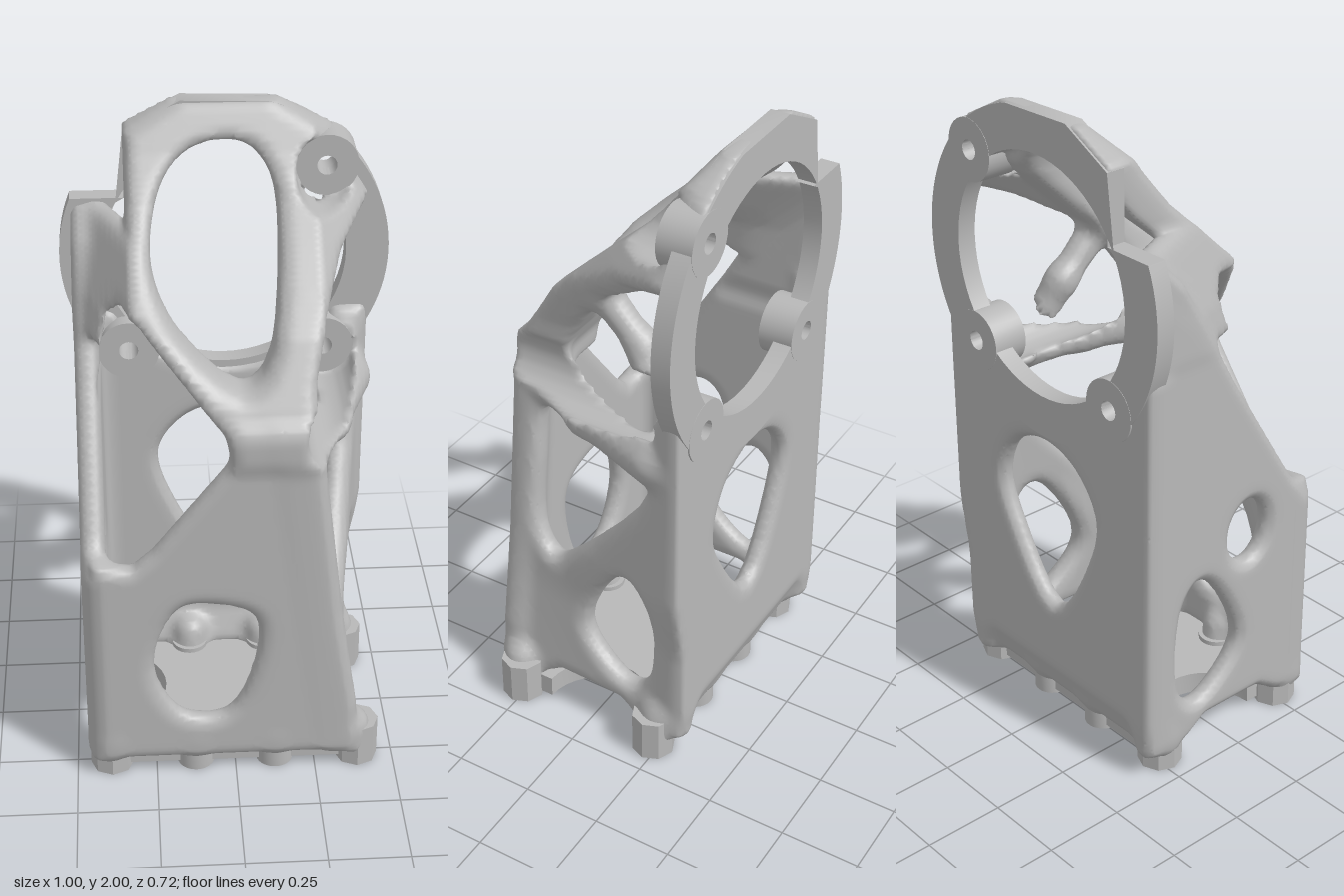
import * as THREE from 'three';
import { toCreasedNormals } from 'three/addons/utils/BufferGeometryUtils.js';

const { lerp, clamp, smoothstep } = THREE.MathUtils;

const arc = (cx, cy, r, a0, a1, n = 32) => Array.from({ length: n + 1 }, (_, i) => {
  const a = a0 + (a1 - a0) * i / n;
  return [cx + r * Math.cos(a), cy + r * Math.sin(a)];
});
const circle = (cx, cy, r, n = 32) => arc(cx, cy, r, 0, 2 * Math.PI, n).slice(0, n);
// smooth closed loop through a few points
const smooth = (pts, n = 32) => new THREE.CatmullRomCurve3(
  pts.map(([a, b]) => new THREE.Vector3(a, b, 0)), true)
  .getPoints(n).slice(0, n).map((p) => [p.x, p.y]);

// rounded union and rounded intersection of two distances
const blend = (a, b, k) => Math.min(a, b) - Math.max(k - Math.abs(a - b), 0) ** 2 / (4 * k);
const cut = (a, b, k) => -blend(-a, -b, k);

// signed distance to a polygon, negative inside
function polygonDistance(poly, x, y) {
  let best = Infinity, inside = false;
  for (let i = 0, j = poly.length - 1; i < poly.length; j = i++) {
    const [ax, ay] = poly[i], [bx, by] = poly[j];
    const ex = bx - ax, ey = by - ay, px = x - ax, py = y - ay;
    const t = clamp((px * ex + py * ey) / (ex * ex + ey * ey), 0, 1);
    best = Math.min(best, (px - ex * t) ** 2 + (py - ey * t) ** 2);
    if ((ay > y) !== (by > y) && px < ex * py / ey) inside = !inside;
  }
  return Math.sqrt(best) * (inside ? -1 : 1);
}

// outer slope of the roof over height, falling away at both sides
function roofZ(x, y) {
  const profile = [[1.22, 0.35], [1.3, 0.31], [1.47, 0.2], [1.66, 0], [1.75, -0.1], [1.87, -0.2], [2.02, -0.3]];
  let i = 0;
  while (i < profile.length - 2 && y > profile[i + 1][0]) i++;
  const [y0, z0] = profile[i], [y1, z1] = profile[i + 1];
  return lerp(z0, z1, clamp((y - y0) / (y1 - y0), 0, 1))
    - 1.2 * Math.max(0, x - 0.26) - 2.3 * Math.max(0, -0.29 - x);
}

// Walls of the casting: outline and holes seen square on, depth measured inwards from the outside.
const facing = (x, y) => [x, y];
const sideways = (x, y, z) => [z, y];

// front wall with one window and a diagonal upper left edge
const frontWall = {
  thickness: 0.075, flat: facing, depth: (x, y, z) => 0.35 - z,
  outline: [
    [-0.43, 0.07], [0.37, 0.07], [0.37, 0.25], [0.31, 0.6], [0.235, 1.25], [0, 1.25],
    [-0.01, 1.15], [-0.25, 0.84], [-0.31, 0.785], [-0.43, 0.8],
  ],
  holes: [smooth([
    [-0.25, 0.42], [-0.17, 0.635], [-0.06, 0.645], [0.05, 0.6], [0.06, 0.46], [-0.03, 0.24], [-0.16, 0.24],
  ])],
};

// back wall, scooped out under the mounting ring
const backWall = {
  thickness: 0.07, flat: facing, depth: (x, y, z) => z + 0.347 - Math.max(0, 0.2 - y) * 0.4,
  outline: [
    [-0.44, 0.07], [0.38, 0.07], [0.39, 0.4], [0.43, 0.65], [0.435, 1.33],
    ...arc(0, 1.51, 0.385, -0.5, -Math.PI + 0.5, 16), [-0.455, 1.33],
  ],
  holes: [smooth([[-0.02, 0.42], [0.16, 0.64], [0.21, 0.78], [0.15, 0.92], [0.02, 0.975], [-0.12, 0.94], [-0.21, 0.82], [-0.18, 0.66]])],
};

const lowerSideHole = smooth([[0.03, 0.36], [-0.08, 0.59], [-0.14, 0.62], [-0.195, 0.55], [-0.2, 0.26], [-0.14, 0.2], [-0.03, 0.26]]);
const sideArch = [[-0.34, 0.07], [-0.17, 0.08], [-0.1, 0.13], [0.12, 0.13], [0.2, 0.08], [0.32, 0.07]];

// right wall, straight, leaning back along its upper edge
const rightWall = {
  thickness: 0.075, flat: sideways, depth: (x) => x + 0.462,
  outline: [...sideArch, [0.32, 0.74], [0.24, 0.85], [0, 1.24], [-0.2, 1.6], [-0.28, 1.68], [-0.34, 1.69]],
  holes: [lowerSideHole, circle(0, 0, 0.075, 20).map(([z, y]) => [z + 0.065, y * 1.35 + 0.72])],
};

// left wall, twisted, its front edge drawn inwards towards the top
const leftWall = {
  thickness: 0.08, flat: sideways,
  depth: (x, y, z) => 0.94 * (lerp(0.4 + 0.04 * smoothstep(y, 0.4, 0.65), 0.385 - 0.14 * y, (z + 0.35) / 0.7) - x),
  outline: [...sideArch, [0.33, 1.23], [-0.18, 1.2], [-0.27, 1.3], [-0.34, 1.31]],
  holes: [lowerSideHole, smooth([
    [0.24, 0.85], [0.225, 1.05], [0.12, 1.085], [-0.17, 1.04], [-0.2, 0.98], [0.08, 0.62], [0.17, 0.555], [0.23, 0.64],
  ])],
};

// sloping roof web around one large opening
const roofWeb = {
  thickness: 0.12, flat: facing, depth: (x, y, z) => 0.78 * (roofZ(x, y) - z),
  outline: [
    [0, 1.14], [0.23, 1.14], [0.235, 1.35], [0.27, 1.5], [0.33, 1.62], [0.43, 1.7], [0.32, 1.91],
    [0.13, 2.01], [-0.13, 2.01], [-0.3, 1.92], [-0.3, 1.69], [-0.44, 1.68], [-0.44, 1.38],
    [-0.38, 1.36], [-0.36, 1.47], [-0.32, 1.515], [-0.27, 1.49], [-0.03, 1.22],
  ],
  holes: [smooth([
    [0.02, 1.335], [-0.16, 1.47], [-0.225, 1.59], [-0.22, 1.71], [-0.17, 1.82],
    [-0.08, 1.88], [0.06, 1.88], [0.13, 1.8], [0.14, 1.62], [0.09, 1.38],
  ])],
};
const walls = [frontWall, backWall, rightWall, leftWall, roofWeb];

// straight struts and leg roots: x, y, z, radius at both ends
const feetX = [-0.39, -0.125, 0.125, 0.385], feetZ = [0.262, -0.23];
const struts = [
  [[0.18, 1.14, 0.27, 0.06], [0.3, 1.11, 0.05, 0.05]],
  [[0.3, 1.11, 0.05, 0.05], [0.38, 1.11, -0.22, 0.07]],
  [[0.21, 1.5, 0.05, 0.05], [0.215, 1.36, -0.09, 0.042]],
  [[0.215, 1.36, -0.09, 0.042], [0.29, 1.14, -0.2, 0.06]],
  ...feetX.flatMap((x) => feetZ.map((z) => [[x, 0.06, z, 0.05], [x * 0.97, 0.13, z * 1.05, 0.05]])),
];
const bolts = [[0.3, 1.81], [0.3, 1.21], [-0.3, 1.21]];

function strutDistance([a, b], x, y, z) {
  const ex = b[0] - a[0], ey = b[1] - a[1], ez = b[2] - a[2];
  const px = x - a[0], py = y - a[1], pz = z - a[2];
  const t = clamp((px * ex + py * ey + pz * ez) / (ex * ex + ey * ey + ez * ez), 0, 1);
  return Math.hypot(px - ex * t, py - ey * t, pz - ez * t) - lerp(a[3], b[3], t);
}

// distance to the whole casting: walls and struts blended, ring bore and tool pockets cut out
function castingDistance(x, y, z) {
  let d = 1;
  for (const wall of walls) {
    const half = wall.thickness / 2;
    let w = Math.abs(wall.depth(x, y, z) - half) - half;
    if (w < 0.1) {
      const [u, v] = wall.flat(x, y, z);
      w = cut(w, polygonDistance(wall.outline, u, v), 0.04);
      for (const hole of wall.holes) w = cut(w, -polygonDistance(hole, u, v), 0.05);
    }
    d = blend(d, w, 0.045);
  }
  for (const s of struts) d = blend(d, strutDistance(s, x, y, z), 0.045);
  for (const [bx, by] of bolts) {
    const r = Math.hypot(x - bx, y - by);
    d = Math.max(d, 0.032 - r, Math.min(0.098 - r, z + 0.245));
  }
  const bore = Math.max(Math.hypot(x, y - 1.51) - 0.368, z + 0.29);
  return Math.max(d, -bore, -0.346 - z, y - 1.995, 0.01 - y);
}

// skin the casting: one vertex per crossed lattice cell, one quad per crossed lattice edge
function castingGeometry() {
  const step = 0.015, start = [-0.52, -0.02, -0.385], n = [70, 137, 53];
  const stride = [1, n[0], n[0] * n[1]];
  const field = new Float32Array(n[0] * n[1] * n[2]).fill(1);
  const each = (from, fn) => {
    for (let k = from; k < n[2] - 1; k++) for (let j = from; j < n[1] - 1; j++) {
      for (let i = from; i < n[0] - 1; i++) fn([i, j, k], i + j * stride[1] + k * stride[2]);
    }
  };
  each(0, (c, id) => { field[id] = castingDistance(...c.map((v, a) => start[a] + v * step)); });

  const positions = [], index = [], vertexOf = new Int32Array(field.length);
  each(0, (c, id) => {
    const sum = [0, 0, 0];
    let hits = 0;
    for (let corner = 0; corner < 8; corner++) {
      const bits = [corner & 1, (corner >> 1) & 1, corner >> 2];
      const at = id + bits[0] + bits[1] * stride[1] + bits[2] * stride[2];
      for (let a = 0; a < 3; a++) {
        if (bits[a] || (field[at] < 0) === (field[at + stride[a]] < 0)) continue;
        const t = field[at] / (field[at] - field[at + stride[a]]);
        for (let b = 0; b < 3; b++) sum[b] += bits[b] + (a === b ? t : 0);
        hits++;
      }
    }
    if (!hits) return;
    vertexOf[id] = positions.length / 3;
    for (let a = 0; a < 3; a++) positions.push(start[a] + (c[a] + sum[a] / hits) * step);
  });
  each(1, (c, id) => {
    for (let a = 0; a < 3; a++) {
      const inside = field[id] < 0;
      if (inside === (field[id + stride[a]] < 0)) continue;
      const sb = stride[(a + 1) % 3], sc = stride[(a + 2) % 3];
      const q = [id - sb - sc, id - sc, id, id - sb].map((cell) => vertexOf[cell]);
      if (!inside) q.reverse();
      index.push(q[0], q[1], q[2], q[0], q[2], q[3]);
    }
  });
  const g = new THREE.BufferGeometry();
  g.setAttribute('position', new THREE.Float32BufferAttribute(positions, 3));
  g.setIndex(index);
  g.computeVertexNormals();
  return g;
}

export function createModel() {
  const group = new THREE.Group();
  const castMetal = new THREE.MeshStandardMaterial({ color: 0xb8b8b8 });
  const add = (name, geometry) => {
    const mesh = new THREE.Mesh(geometry, castMetal);
    mesh.name = name;
    group.add(mesh);
    return mesh;
  };
  // machined flat part with holes
  const plate = (name, outline, holes, depth) => {
    const points = (pts) => pts.map(([a, b]) => new THREE.Vector2(a, b));
    const shape = new THREE.Shape(points(outline));
    shape.holes = holes.map((h) => new THREE.Path(points(h)));
    return add(name, toCreasedNormals(new THREE.ExtrudeGeometry(shape, { depth, bevelEnabled: false }), 0.6));
  };
  add('castBody', castingGeometry());

  // mounting ring with a square notch, and its bolt bosses
  const ringEdge = [...arc(0, 1.51, 0.5, -Math.PI - 0.39, 1.31, 80), [-0.13, 2], [-0.3, 1.91], [-0.3, 1.7]];
  const boltHoles = bolts.map(([x, y]) => circle(x, y, 0.03, 20));
  plate('mountingRing', ringEdge, [circle(0, 1.51, 0.37, 64), ...boltHoles], 0.06).position.z = -0.35;
  for (const [x, y] of bolts) {
    plate('ringBoss', circle(0, 0, 0.095), [circle(0, 0, 0.03, 20)], 0.111).position.set(x, y, -0.351);
  }

  // floor plate, scalloped at both ends, between two rows of bolt feet
  const floor = plate('floorPlate', [
    [-0.38, -0.29], [0.38, -0.29], ...arc(0.38, 0.015, 0.17, -Math.PI / 2, -1.5 * Math.PI, 16),
    [0.38, 0.26], [-0.38, 0.26], ...arc(-0.38, 0.015, 0.17, Math.PI / 2, -Math.PI / 2, 16),
  ], [], 0.07);
  floor.rotation.x = -Math.PI / 2;
  floor.position.y = 0.015;
  for (const x of feetX) for (const z of feetZ) {
    const corner = Math.abs(x) > 0.3;
    const foot = plate('boltFoot', circle(0, 0, corner ? 0.068 : 0.058, corner ? 8 : 24),
      [circle(0, 0, 0.03, 20)], corner ? 0.14 : 0.1);
    foot.rotation.x = -Math.PI / 2;
    foot.position.set(x, 0, z);
  }
  return group;
}
